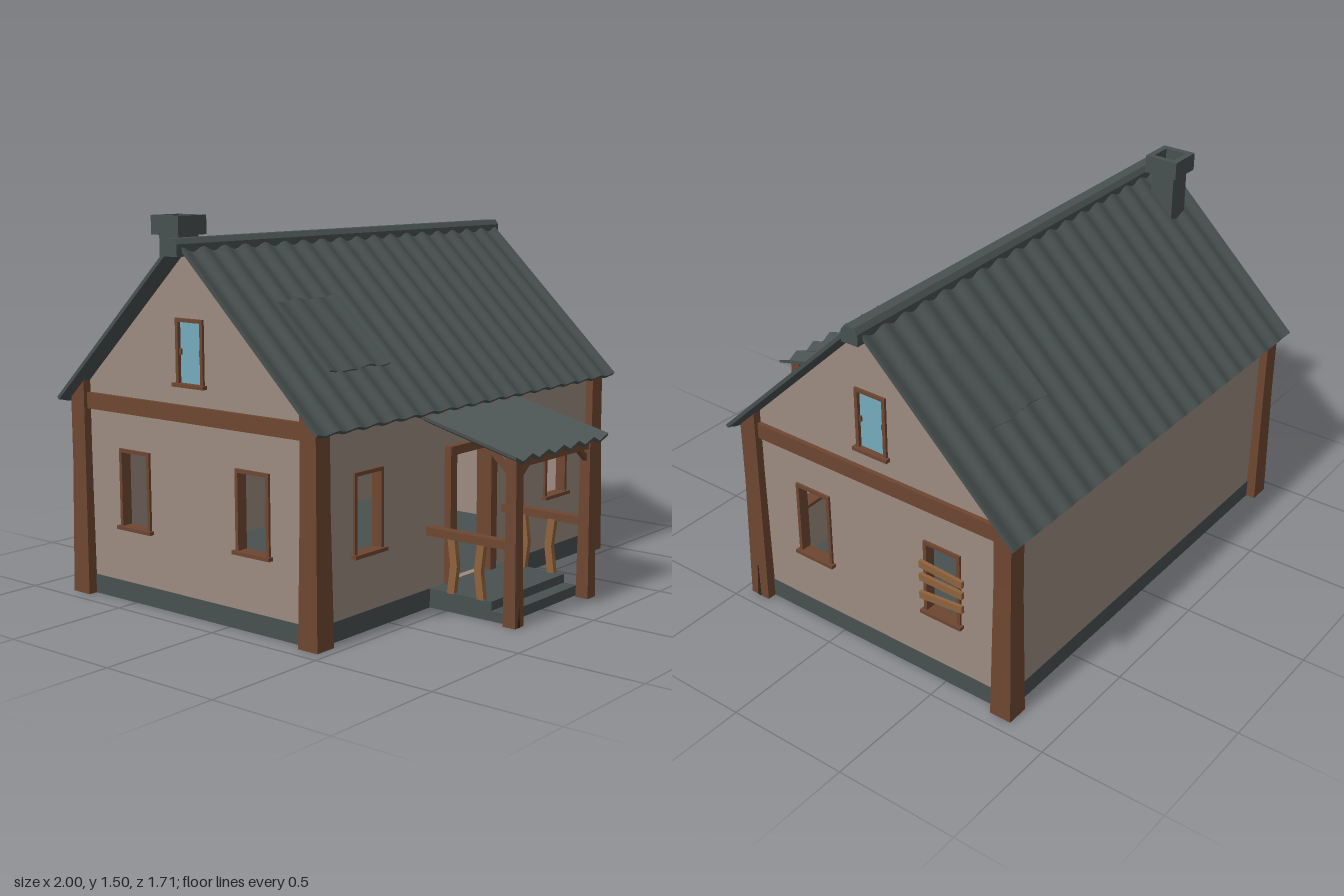
import * as THREE from 'three';
import { toCreasedNormals } from 'three/addons/utils/BufferGeometryUtils.js';

const mat = (name, color, side = THREE.FrontSide) => {
  const m = new THREE.MeshStandardMaterial({ color, side });
  m.name = name;
  return m;
};

export function createModel() {
  const plaster = mat('plaster', 0x9c8b80, THREE.DoubleSide);
  const slate = mat('slate grey', 0x485050);
  const timber = mat('dark timber', 0x6e4631);
  const plank = mat('light plank', 0x8f633d);
  const glass = mat('glass', 0x76abbd);
  const crackMat = mat('crack', 0x3a2419);

  const house = new THREE.Group();
  house.name = 'house';

  const add = (parent, name, geo, material, x = 0, y = 0, z = 0) => {
    const m = new THREE.Mesh(geo, material);
    m.name = name;
    m.position.set(x, y, z);
    parent.add(m);
    return m;
  };
  // box given by its min and max corners
  const block = (parent, name, material, x0, x1, y0, y1, z0, z1) =>
    add(parent, name, new THREE.BoxGeometry(x1 - x0, y1 - y0, z1 - z0), material,
      (x0 + x1) / 2, (y0 + y1) / 2, (z0 + z1) / 2);
  const group = (name, x, y, z, ry = 0) => {
    const g = new THREE.Group();
    g.name = name;
    g.position.set(x, y, z);
    g.rotation.y = ry;
    house.add(g);
    return g;
  };

  // Main measures
  const RIDGE_Z = -0.18, RIDGE_Y = 1.405, EAVE_RUN = 0.665, EAVE_DROP = 0.635;
  const PITCH = Math.atan2(EAVE_DROP, EAVE_RUN);
  const WALL_X = 0.905, FRONT = 0.42, BACK = -0.78, T = 0.03, BASE = 0.075;
  const underRoof = z => RIDGE_Y - 0.02 - Math.tan(PITCH) * Math.abs(z - RIDGE_Z);

  // Foundation and porch steps
  block(house, 'foundation', slate, -0.908, 0.908, 0, BASE, BACK - 0.003, FRONT + 0.003);
  block(house, 'upperStep', slate, -0.25, 0.25, 0, BASE, FRONT, 0.71);
  block(house, 'lowerStep', slate, -0.25, 0.25, 0, 0.04, 0.7, 0.77);

  // Walls with openings
  const polygon = pts => new THREE.Shape(pts.map(p => new THREE.Vector2(...p)));
  const opening = (cx, y0, y1, w) => new THREE.Path([
    [cx - w / 2, y0], [cx - w / 2, y1], [cx + w / 2, y1], [cx + w / 2, y0],
  ].map(p => new THREE.Vector2(...p)));
  const slab = (shape, depth) => new THREE.ExtrudeGeometry(shape, { depth, bevelEnabled: false });
  const WIN = { w: 0.165, y0: 0.288, y1: 0.6 }, ATTIC = { w: 0.14, y0: 0.875, y1: 1.125 };
  const hole = (cx, o) => opening(cx, o.y0 + 0.006, o.y1 - 0.006, o.w - 0.012);

  const frontShape = polygon([[-0.9, BASE], [0.9, BASE], [0.9, 0.8], [-0.9, 0.8]]);
  const backShape = frontShape.clone();
  frontShape.holes.push(hole(-0.62, WIN), hole(0.62, WIN), opening(0, BASE + 0.002, 0.59, 0.25));
  add(house, 'frontWall', slab(frontShape, T), plaster, 0, 0, FRONT - T);
  add(house, 'backWall', slab(backShape, T), plaster, 0, 0, BACK);

  // Window frame facing +z, with a sill
  const frame = (parent, name, cx, o) => {
    const g = new THREE.Group(), b = 0.014;
    g.name = name;
    parent.add(g);
    const x0 = cx - o.w / 2, x1 = cx + o.w / 2;
    block(g, 'frameSide', timber, x0, x0 + b, o.y0, o.y1, -T - 0.005, 0.01);
    block(g, 'frameSide', timber, x1 - b, x1, o.y0, o.y1, -T - 0.005, 0.01);
    block(g, 'frameTop', timber, x0, x1, o.y1 - b, o.y1, -T - 0.005, 0.01);
    block(g, 'sill', timber, x0 - 0.01, x1 + 0.01, o.y0 - 0.004, o.y0 + 0.01, -T - 0.005, 0.022);
    return g;
  };
  // Nailed planks: [height, tilt, shift]
  const boards = (parent, cx, list, w) => list.forEach(([y, tilt, dx]) => {
    add(parent, 'nailedPlank', new THREE.BoxGeometry(w, 0.029, 0.014), plank, cx + dx, y, 0.017)
      .rotation.z = tilt;
  });

  // Gable ends
  for (const s of [1, -1]) {
    const g = group(s > 0 ? 'rightGable' : 'leftGable', s * WALL_X, 0, 0, s * Math.PI / 2);
    const u = z => -s * z;
    const shape = polygon([[BACK, BASE], [FRONT, BASE], [FRONT, underRoof(FRONT)],
      [RIDGE_Z, underRoof(RIDGE_Z)], [BACK, underRoof(BACK)]].map(([z, y]) => [u(z), y]));
    shape.holes.push(hole(u(0.125), WIN), hole(u(-0.49), WIN), hole(u(RIDGE_Z), ATTIC));
    add(g, 'gableWall', slab(shape, T), plaster, 0, 0, -T);
    frame(g, 'frontSideWindow', u(0.125), WIN);
    frame(g, 'backSideWindow', u(-0.49), WIN);
    const c = u(RIDGE_Z);
    const attic = frame(g, 'atticWindow', c, ATTIC);
    block(attic, 'pane', glass, c - 0.064, c + 0.064, 0.88, 1.12, -0.012, -0.004);
    for (const k of [-1, 1])
      block(attic, 'brokenBar', timber, c + k * 0.057 - 0.01, c + k * 0.057 + 0.01, 0.99, 1.012, -0.02, 0.004);
    const ends = [u(BACK), u(FRONT)].sort((a, b) => a - b);
    block(g, 'gableBeam', timber, ends[0], ends[1], 0.74, 0.803, -T, 0.018);
    if (s > 0) boards(g, 0.495, [[0.498, -0.06, 0], [0.445, -0.01, 0], [0.375, 0.09, 0]], 0.195);
  }

  // Front windows and door
  const front = group('frontOpenings', 0, 0, FRONT);
  for (const x of [-0.62, 0.62]) frame(front, 'frontWindow', x, { ...WIN, y1: 0.598 });
  boards(front, 0.62, [[0.528, -0.09, 0], [0.475, 0.05, 0]], 0.19);
  for (const s of [-1, 1])
    block(front, 'doorPost', timber, s * 0.135 - 0.02, s * 0.135 + 0.02, BASE, 0.6, -T - 0.01, 0.03);
  block(front, 'doorLintel', timber, -0.155, 0.155, 0.58, 0.615, -T - 0.01, 0.032);

  // Tapered posts, tops cut to the slope above
  const post = (name, x, z, w, top) => {
    const geo = new THREE.BoxGeometry(w, 1, w, 1, 3, 1), p = geo.attributes.position;
    for (let i = 0; i < p.count; i++) {
      const t = p.getY(i) + 0.5, k = 1.2 - 0.2 * Math.min(1, t * 1.5);
      const pz = z + p.getZ(i) * k;
      p.setXYZ(i, x + p.getX(i) * k, t * top(pz), pz);
    }
    geo.computeVertexNormals();
    add(house, name, geo, timber);
  };
  for (const x of [-0.901, 0.901])
    for (const z of [0.416, -0.777]) post('cornerPost', x, z, 0.075, underRoof);

  // Corrugated sheet: waves along x, running down the slope along +z
  const sheet = (w, len, waves, steps, amp, thick, skew = 0) => {
    const n = Math.round(waves * steps), top = [], low = [];
    for (let i = 0; i <= n; i++) {
      const x = -w / 2 + w * i / n, h = amp * Math.cos(i / steps * Math.PI * 2);
      top.push([x, h + thick / 2]);
      low.push([x, h - thick / 2]);
    }
    const geo = slab(polygon([...low, ...top.reverse()]), len);
    const p = geo.attributes.position;
    // ragged ends for torn sheets
    if (skew) for (let i = 0; i < p.count; i++) {
      const x = p.getX(i), z = p.getZ(i);
      p.setZ(i, z + skew * Math.sin(x * 31 + z * 9));
      p.setX(i, x + skew * (z > len / 2 ? 1 : -1));
    }
    return toCreasedNormals(geo, 0.5);
  };

  // Main roof: two slopes, each with a patch
  const slopeLength = Math.hypot(EAVE_RUN, EAVE_DROP);
  for (const [name, ry, px, run, patchRun] of [
    ['frontRoof', 0, -0.545, 0.24, 0.25], ['backRoof', Math.PI, -0.6, 0.178, 0.217]]) {
    const g = group(name, 0, RIDGE_Y, RIDGE_Z, ry);
    const slope = new THREE.Group();
    slope.name = 'slope';
    slope.rotation.x = PITCH;
    g.add(slope);
    add(slope, 'roofSheet', sheet(1.95, slopeLength, 18, 6, 0.007, 0.014), slate);
    const c = Math.cos(PITCH);
    add(slope, 'roofPatch', sheet(0.335, patchRun / c, 3, 6, 0.006, 0.008, 0.005), slate,
      px, 0.014, run / c);
  }

  // Ridge cap with chamfered top
  const cap = slab(polygon([[-0.037, 1.355], [0.037, 1.355], [0.037, 1.4], [0.022, 1.42],
    [-0.022, 1.42], [-0.037, 1.4]]), 2).rotateY(Math.PI / 2);
  add(house, 'ridgeCap', cap, slate, -1, 0, RIDGE_Z);

  // Hollow chimney
  const ring = (half, inner, h) => {
    const s = polygon([[-half, -half], [half, -half], [half, half], [-half, half]]);
    s.holes.push(opening(0, -inner, inner, inner * 2));
    return slab(s, h).rotateX(-Math.PI / 2);
  };
  add(house, 'chimneyCap', ring(0.072, 0.046, 0.072), slate, -0.821, 1.423, -0.317);
  block(house, 'chimneyShaft', slate, -0.872, -0.77, 1.18, 1.426, -0.368, -0.266);

  // Porch roof
  const PORCH_PITCH = 0.245;
  const porchRoof = add(house, 'porchRoof', sheet(0.634, 0.452, 6, 2, 0.012, 0.012), slate,
    0, 0.741, 0.415);
  porchRoof.rotation.x = PORCH_PITCH;
  const underPorch = z => 0.732 - Math.tan(PORCH_PITCH) * (z - 0.415);

  // Porch frame, braces and railings
  const brace = (a, b) => {
    const A = new THREE.Vector3(...a), B = new THREE.Vector3(...b);
    const m = add(house, 'porchBrace', new THREE.BoxGeometry(0.02, 0.02, A.distanceTo(B)), timber);
    m.position.copy(A).lerp(B, 0.5);
    m.lookAt(B);
  };
  block(house, 'porchBeam', timber, -0.25, 0.25, 0.595, 0.628, 0.79, 0.825);
  for (const s of [-1, 1]) {
    const x = s * 0.252;
    post('porchPost', x, 0.808, 0.046, underPorch);
    brace([x, 0.57, 0.79], [x, 0.65, 0.705]);
    brace([s * 0.235, 0.555, 0.808], [s * 0.165, 0.61, 0.808]);
    block(house, 'handrail', timber, x - 0.02, x + 0.02, 0.288, 0.32, FRONT, 0.8);
    for (const [z, bow] of [[0.652, -0.007], [0.528, 0.007]]) {
      const geo = new THREE.BoxGeometry(0.022, 0.22, 0.032, 1, 4, 1), p = geo.attributes.position;
      for (let i = 0; i < p.count; i++)
        p.setZ(i, p.getZ(i) + bow * Math.cos(p.getY(i) / 0.11 * Math.PI));
      geo.computeVertexNormals();
      add(house, 'baluster', geo, plank, s * 0.24, 0.182, z);
    }
  }

  // Splits in the weathered posts
  const crack = h => slab(polygon([[-0.008, 0], [0.008, 0], [0.003, h]]), 0.008);
  add(house, 'postCrack', crack(0.145), crackMat, 0.94, 0, 0.42).rotation.y = Math.PI / 2;
  add(house, 'porchPostCrack', crack(0.085), crackMat, -0.257, 0, 0.829);

  return house;
}
